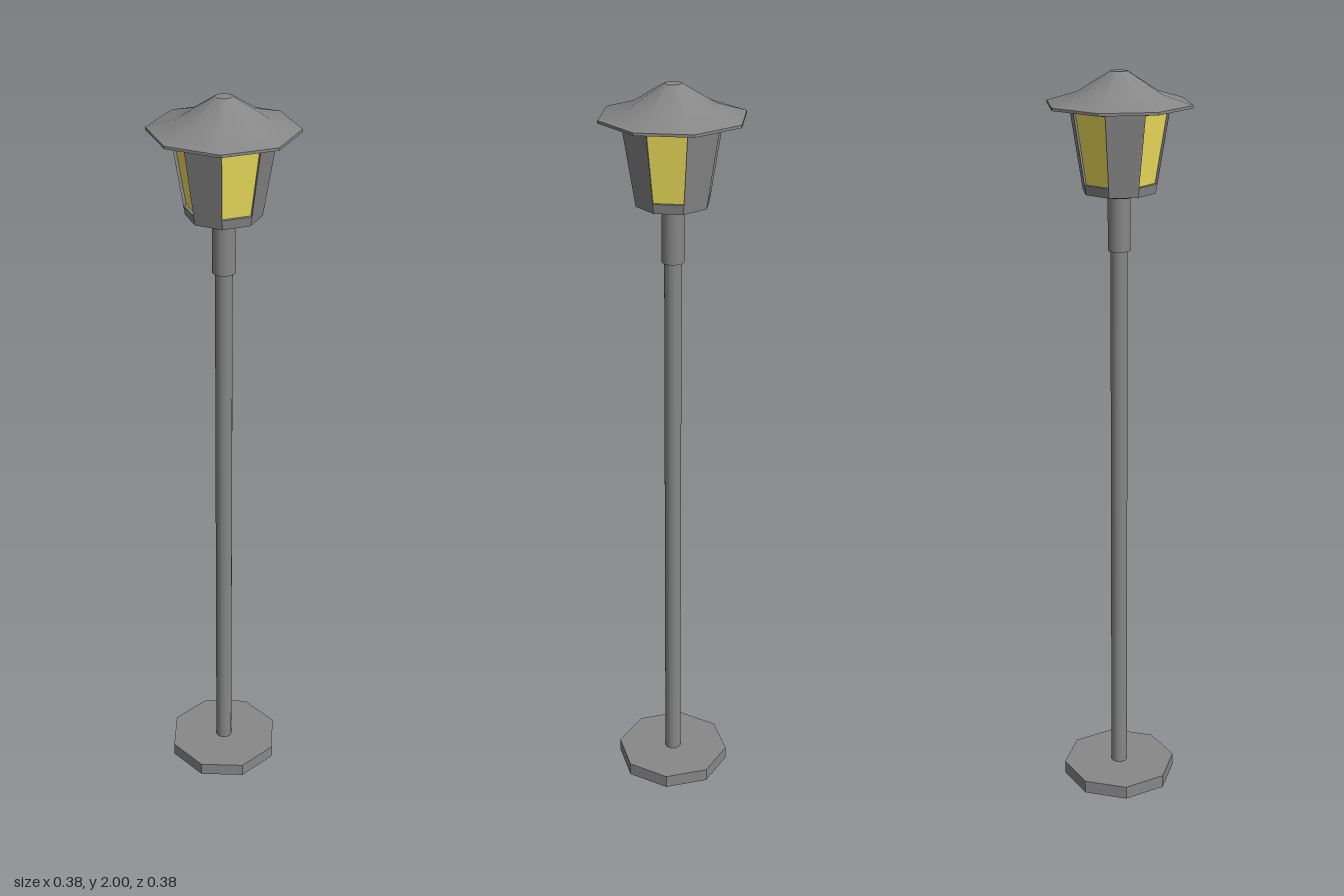
import * as THREE from 'three';

const grey = new THREE.MeshStandardMaterial({ color: 0x888888 });
const greyFlat = new THREE.MeshStandardMaterial({ color: 0x888888, flatShading: true });
const yellow = new THREE.MeshStandardMaterial({ color: 0xf4e55f, flatShading: true });

// Upright cylinder or frustum between two heights
function column(name, rBottom, rTop, y0, y1, sides, material) {
  const geometry = new THREE.CylinderGeometry(rTop, rBottom, y1 - y0, sides);
  geometry.translate(0, (y0 + y1) / 2, 0);
  const mesh = new THREE.Mesh(geometry, material);
  mesh.name = name;
  return mesh;
}

// Flat four-cornered faces, corners counter-clockwise from outside
function faces(name, quads, material) {
  const points = quads.flatMap(([a, b, c, d]) => [a, b, c, a, c, d]).flat();
  const geometry = new THREE.BufferGeometry();
  geometry.setAttribute('position', new THREE.Float32BufferAttribute(points, 3));
  geometry.computeVertexNormals();
  const mesh = new THREE.Mesh(geometry, material);
  mesh.name = name;
  return mesh;
}

// Corners of lantern side i between two heights, moved inward by depth
const BOTTOM = 1.70, TOP = 1.918;
function sideCorners(i, y0, y1, depth = 0) {
  const normal = (i + 0.5) * Math.PI / 4;
  return [[i + 1, y0], [i, y0], [i, y1], [i + 1, y1]].map(([n, y]) => {
    const r = THREE.MathUtils.mapLinear(y, BOTTOM, TOP, 0.096, 0.132);
    const a = n * Math.PI / 4;
    return [
      r * Math.cos(a) - depth * Math.cos(normal), y,
      r * Math.sin(a) - depth * Math.sin(normal),
    ];
  });
}

export function createModel() {
  const group = new THREE.Group();
  group.name = 'streetLamp';

  // Foot, with a flat side to the front
  const base = column('base', 0.158, 0.158, 0, 0.037, 8, greyFlat);
  base.rotation.y = Math.PI / 8;
  group.add(base);

  // Post and the thicker collar that carries the lantern
  group.add(column('pole', 0.023, 0.023, 0.037, 1.56, 12, grey));
  group.add(column('collar', 0.03, 0.03, 1.548, 1.695, 12, grey));

  // Lantern: solid sides alternate with slightly recessed glass
  const lantern = new THREE.Group();
  lantern.name = 'lantern';
  lantern.add(column('lanternNeck', 0.042, 0.05, 1.688, BOTTOM, 8, greyFlat));
  lantern.add(column('lanternFloor', 0.096, 0.096, BOTTOM, BOTTOM + 0.002, 8, greyFlat));
  for (let i = 0; i < 8; i++) {
    if (i % 2) {
      lantern.add(faces('solidPanel', [sideCorners(i, BOTTOM, TOP)], greyFlat));
      continue;
    }
    const outer = sideCorners(i, 1.725, 1.905);
    const inner = sideCorners(i, 1.725, 1.905, 0.008);
    const reveal = outer.map((p, k) => [p, outer[(k + 1) % 4], inner[(k + 1) % 4], inner[k]]);
    const rims = [sideCorners(i, BOTTOM, 1.725), sideCorners(i, 1.905, TOP)];
    lantern.add(faces('glassFrame', [...rims, ...reveal], greyFlat));
    lantern.add(faces('glassPanel', [inner], yellow));
  }
  group.add(lantern);

  // Flared roof with a blunt tip and a thin eave
  const slope = [[0.189, 1.922], [0.11, 1.946], [0.022, 2]].map(p => new THREE.Vector2(...p));
  const roof = new THREE.Mesh(new THREE.LatheGeometry(slope, 8), grey);
  roof.name = 'roof';
  group.add(roof);
  group.add(column('roofTip', 0.024, 0.022, 1.997, 2, 8, greyFlat));
  group.add(column('eave', 0.189, 0.189, 1.915, 1.922, 8, greyFlat));

  return group;
}
